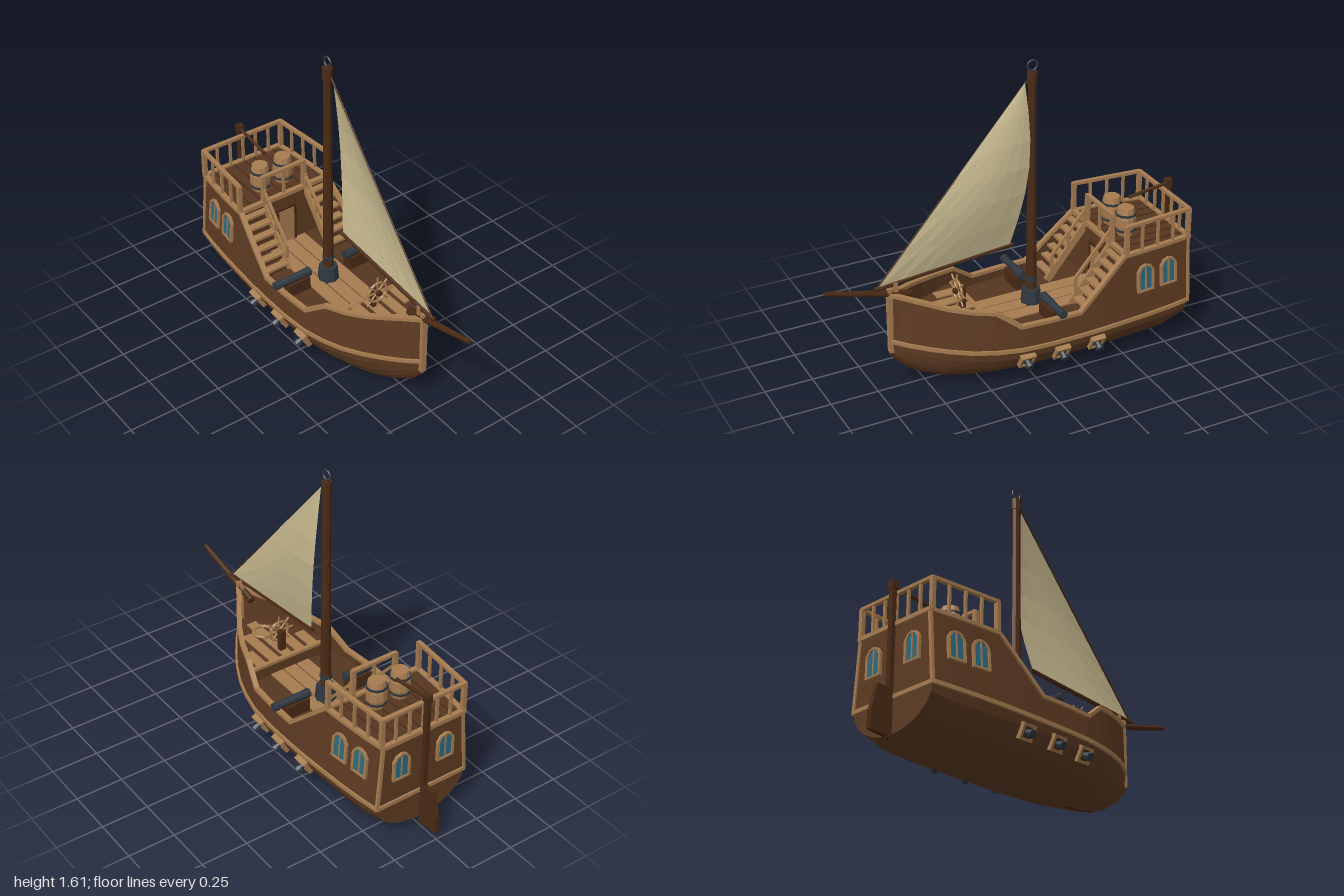
import * as THREE from 'three';

const mat = (name, color, side = THREE.FrontSide) => {
  const m = new THREE.MeshStandardMaterial({ color, flatShading: true, side });
  m.name = name;
  return m;
};

// Hull stations: z, half width, keel y, rubbing rail y, gunwale y
const STATIONS = [
  [-0.87, 0.262, 0.05, 0.225, 0.58], [-0.76, 0.277, 0.005, 0.222, 0.58], [-0.62, 0.29, 0, 0.22, 0.58],
  [-0.48, 0.298, 0, 0.218, 0.58], [-0.35, 0.303, 0, 0.215, 0.46], [-0.22, 0.305, 0, 0.213, 0.34],
  [-0.05, 0.303, 0, 0.212, 0.34], [0.1, 0.292, 0, 0.213, 0.34], [0.22, 0.265, 0, 0.217, 0.43],
  [0.33, 0.228, 0.006, 0.224, 0.445], [0.43, 0.18, 0.02, 0.235, 0.465], [0.52, 0.125, 0.055, 0.246, 0.49],
  [0.6, 0.07, 0.11, 0.258, 0.51], [0.67, 0.012, 0.19, 0.27, 0.53],
];

function stationAt(z) {
  let i = 0;
  while (i < STATIONS.length - 2 && STATIONS[i + 1][0] < z) i++;
  const a = STATIONS[i], b = STATIONS[i + 1], t = (z - a[0]) / (b[0] - a[0]);
  return a.map((v, k) => v + (b[k] - v) * t);
}
// Half width of the topsides at a height above the rail
const widthAt = (z, y) => { const s = stationAt(z); return Math.max(0.008, s[1] - 0.08 * (y - s[3])); };

export function createModel() {
  const root = new THREE.Group();
  root.name = 'sailingShip';
  const hullM = mat('hullBrown', 0x5e3b22, THREE.DoubleSide);
  const deckM = mat('deckBrown', 0x553620);
  const trim = mat('lightWood', 0xa67c50);
  const dark = mat('darkWood', 0x4a2a15);
  const sailM = mat('canvas', 0xc6b88e, THREE.DoubleSide);
  const iron = mat('iron', 0x2f3740);
  const glass = mat('glass', 0x2a6a80);

  const V = (x, y, z) => new THREE.Vector3(x, y, z);
  const add = (name, geo, m, pos, parent = root) => {
    const o = new THREE.Mesh(geo, m);
    o.name = name;
    if (pos) o.position.copy(pos);
    parent.add(o);
    return o;
  };
  const box = (name, m, w, h, d, x, y, z, parent) => add(name, new THREE.BoxGeometry(w, h, d), m, V(x, y, z), parent);
  const beam = (name, m, a, b, w, h = w) => {
    const o = add(name, new THREE.BoxGeometry(w, h, a.distanceTo(b) + w * 0.3), m, a.clone().lerp(b, 0.5));
    o.lookAt(b);
    return o;
  };
  const rod = (name, m, a, b, r1, r2 = r1, parent = root) => {
    const o = add(name, new THREE.CylinderGeometry(r2, r1, a.distanceTo(b), 8), m, a.clone().lerp(b, 0.5), parent);
    o.quaternion.setFromUnitVectors(V(0, 1, 0), b.clone().sub(a).normalize());
    return o;
  };

  // Hull skin: port gunwale, round the keel, to starboard gunwale
  const N = 6;
  const section = ([z, w, keel, rail, top]) => {
    const half = [];
    for (let i = 0; i <= N; i++) {
      const a = (i / N) * Math.PI / 2;
      half.push([w * Math.sin(a), keel + (rail - keel) * (1 - Math.cos(a)), z]);
    }
    half.push([widthAt(z, top), top, z]);
    return [...half.slice(1).reverse().map(([x, y, q]) => [-x, y, q]), ...half];
  };
  const rows = STATIONS.map(section), C = rows[0].length;
  const pos = rows.flat(2), idx = [];
  for (let r = 0; r < rows.length - 1; r++) for (let c = 0; c < C - 1; c++) {
    const a = r * C + c, b = a + C;
    idx.push(a, a + 1, b, a + 1, b + 1, b);
  }
  for (let c = 1; c < C - 1; c++) idx.push(0, c + 1, c); // transom
  const hullG = new THREE.BufferGeometry();
  hullG.setAttribute('position', new THREE.Float32BufferAttribute(pos, 3));
  hullG.setIndex(idx);
  hullG.computeVertexNormals();
  add('hull', hullG, hullM);

  // Gunwale and rubbing rail follow the stations
  for (const s of [-1, 1]) for (let i = 0; i < STATIONS.length - 1; i++) {
    const [p, q] = [STATIONS[i], STATIONS[i + 1]];
    beam('gunwale', trim, V(s * widthAt(p[0], p[4]), p[4], p[0]), V(s * widthAt(q[0], q[4]), q[4], q[0]), 0.026, 0.018);
    beam('rubbingRail', trim, V(s * p[1], p[3], p[0]), V(s * q[1], q[3], q[0]), 0.02);
  }
  box('transomRail', trim, 0.53, 0.02, 0.02, 0, 0.225, -0.87);
  box('transomSill', trim, 0.49, 0.022, 0.025, 0, 0.58, -0.87);
  for (const s of [-1, 1]) beam('transomCorner', trim, V(s * 0.261, 0.22, -0.87), V(s * 0.234, 0.58, -0.87), 0.016);
  box('stem', trim, 0.03, 0.36, 0.025, 0, 0.385, 0.672);
  const keel = STATIONS.slice(8);
  keel.slice(1).forEach((q, i) => beam('keel', dark, V(0, keel[i][2] + 0.006, keel[i][0]), V(0, q[2] + 0.006, q[0]), 0.02));

  // Decks cut to the hull outline
  const deck = (name, y, z0, z1) => {
    const zs = [z0, ...STATIONS.map((s) => s[0]).filter((z) => z > z0 && z < z1), z1];
    const right = zs.map((z) => new THREE.Vector2(widthAt(z, y) - 0.004, z));
    const left = right.map((p) => new THREE.Vector2(-p.x, p.y)).reverse();
    const g = new THREE.ExtrudeGeometry(new THREE.Shape([...right, ...left]), { depth: 0.02, bevelEnabled: false });
    add(name, g.rotateX(Math.PI / 2), deckM, V(0, y, 0));
  };
  deck('mainDeck', 0.28, -0.48, 0.22);
  deck('foreDeck', 0.35, 0.22, 0.64);
  deck('quarterDeck', 0.58, -0.868, -0.48);
  for (const x of [-0.08, 0, 0.08]) box('mainDeckPlank', trim, 0.072, 0.01, 0.69, x, 0.282, -0.13);
  for (const [x, end] of [[-0.16, 0.36], [-0.08, 0.49], [0, 0.57], [0.08, 0.49], [0.16, 0.36]])
    box('foreDeckPlank', trim, 0.055, 0.01, end - 0.23, x, 0.352, (end + 0.23) / 2);
  for (let i = -3; i <= 3; i++) box('quarterDeckSeam', dark, 0.008, 0.006, 0.37, i * 0.062, 0.58, -0.675);
  box('foreDeckStep', hullM, 0.5, 0.08, 0.012, 0, 0.31, 0.222);
  box('foreDeckBeam', trim, 0.5, 0.016, 0.022, 0, 0.352, 0.222);

  // Cabin front with door
  box('cabinFront', hullM, 0.55, 0.3, 0.015, 0, 0.43, -0.487);
  box('cabinBeam', trim, 0.55, 0.022, 0.026, 0, 0.582, -0.487);
  box('door', trim, 0.1, 0.21, 0.012, 0, 0.385, -0.476);
  for (const s of [-1, 1]) box('doorFrame', dark, 0.012, 0.23, 0.02, s * 0.055, 0.395, -0.474);
  box('doorLintel', dark, 0.122, 0.014, 0.02, 0, 0.505, -0.474);

  // Stairs on both sides
  for (const s of [-1, 1]) {
    for (let i = 0; i < 6; i++) {
      const y = 0.325 + i * 0.045, z = -0.285 - i * 0.036;
      box('stairTread', trim, 0.14, 0.014, 0.04, s * 0.2, y, z);
      box('stairRiser', deckM, 0.13, 0.04, 0.008, s * 0.2, y - 0.022, z - 0.004);
    }
    beam('stairStringer', trim, V(s * 0.127, 0.3, -0.26), V(s * 0.127, 0.57, -0.48), 0.014, 0.04);
    beam('stairHandrail', trim, V(s * 0.127, 0.43, -0.28), V(s * 0.127, 0.66, -0.48), 0.014);
    for (const t of [0, 0.5, 1]) box('stairPost', trim, 0.014, 0.13, 0.014, s * 0.127, 0.37 + t * 0.23, -0.285 - t * 0.19);
  }

  // Quarterdeck railing
  const railing = (a, b, n) => {
    for (let i = 0; i <= n; i++) {
      const p = a.clone().lerp(b, i / n), w = i % n ? 0.013 : 0.022;
      box('railPost', trim, w, 0.165, w, p.x, 0.66, p.z);
    }
    beam('railTop', trim, a.clone().setY(0.738), b.clone().setY(0.738), 0.022, 0.016);
  };
  for (const s of [-1, 1]) railing(V(s * 0.27, 0, -0.49), V(s * 0.24, 0, -0.865), 4);
  railing(V(-0.24, 0, -0.865), V(0.24, 0, -0.865), 6);
  railing(V(-0.125, 0, -0.49), V(0.125, 0, -0.49), 2);

  // Barrels
  const profile = [[0, 0], [0.042, 0], [0.054, 0.05], [0.054, 0.095], [0.042, 0.15], [0, 0.15]].map((p) => new THREE.Vector2(...p));
  for (const s of [-1, 1]) {
    add('barrel', new THREE.LatheGeometry(profile, 10), trim, V(s * 0.07, 0.583, -0.6));
    for (const y of [0.03, 0.115]) add('barrelHoop', new THREE.CylinderGeometry(0.053, 0.053, 0.012, 10), iron, V(s * 0.07, 0.583 + y, -0.6));
  }

  // Mast, collar and top ring
  rod('mast', dark, V(0, 0.27, -0.1), V(0, 1.5, -0.1), 0.028, 0.021);
  add('mastCap', new THREE.CylinderGeometry(0.027, 0.027, 0.06, 8), dark, V(0, 1.51, -0.1));
  add('mastCollar', new THREE.CylinderGeometry(0.048, 0.056, 0.085, 8), iron, V(0, 0.322, -0.1));
  add('mastBand', new THREE.CylinderGeometry(0.031, 0.031, 0.02, 8), iron, V(0, 0.42, -0.1));
  add('mastRing', new THREE.TorusGeometry(0.026, 0.005, 6, 16), iron, V(0, 1.57, -0.1)).rotation.y = Math.PI / 2;

  // Sail with a belly to the left, boom, stay and bowsprit
  const tack = V(0, 0.575, 0.735), head = V(0, 1.49, -0.06), clew = V(0, 0.645, 0.02);
  const sailG = new THREE.PlaneGeometry(1, 1, 6, 6), sp = sailG.attributes.position;
  for (let i = 0; i < sp.count; i++) {
    const v = sp.getX(i) + 0.5, t = sp.getY(i) + 0.5, bulge = Math.sin(Math.PI * t);
    const p = tack.clone().lerp(head, t).lerp(clew.clone().lerp(head, t).add(V(0, 0, -0.042 * bulge)), v);
    sp.setXYZ(i, 0.003 + 0.05 * bulge * Math.sin(Math.PI * 0.65 * v), p.y, p.z);
  }
  sailG.computeVertexNormals();
  add('sail', sailG, sailM);
  rod('boom', dark, V(0, 0.573, 0.745), V(0, 0.638, 0.005), 0.012, 0.01);
  rod('stay', dark, tack, V(0, 1.495, -0.07), 0.004);
  rod('bowsprit', dark, V(0, 0.505, 0.56), V(0, 0.617, 0.997), 0.02, 0.012);
  box('bowspritPost', trim, 0.026, 0.1, 0.022, 0, 0.54, 0.64);

  // Rudder and tiller
  const blade = [[0.885, 0.03], [1, 0.04], [1, 0.13], [0.965, 0.265], [0.885, 0.26]].map((p) => new THREE.Vector2(...p));
  const bladeG = new THREE.ExtrudeGeometry(new THREE.Shape(blade), { depth: 0.026, bevelEnabled: false });
  add('rudderBlade', bladeG.rotateY(Math.PI / 2), dark, V(-0.013, 0, 0));
  box('rudderPost', dark, 0.026, 0.75, 0.024, 0, 0.4, -0.89);
  box('rudderHead', dark, 0.034, 0.04, 0.032, 0, 0.775, -0.89);
  rod('tiller', dark, V(0, 0.773, -0.89), V(0, 0.742, -0.66), 0.009);

  // Steering wheel and rope coil on the foredeck
  add('wheelRim', new THREE.TorusGeometry(0.055, 0.007, 6, 16), trim, V(0, 0.455, 0.31));
  for (let i = 0; i < 4; i++) {
    const d = V(Math.cos(i * Math.PI / 4), Math.sin(i * Math.PI / 4), 0).multiplyScalar(0.087), c = V(0, 0.455, 0.31);
    rod('wheelSpoke', trim, c.clone().sub(d), c.clone().add(d), 0.005);
  }
  rod('wheelHub', dark, V(0, 0.455, 0.285), V(0, 0.455, 0.33), 0.015);
  box('wheelStand', dark, 0.035, 0.12, 0.025, 0, 0.41, 0.285);
  add('ropeCoil', new THREE.TorusGeometry(0.05, 0.009, 6, 16), trim, V(0, 0.365, 0.46)).rotation.x = Math.PI / 2;

  // Deck cannons and hull gun ports
  for (const s of [-1, 1]) {
    rod('deckCannon', iron, V(s * 0.11, 0.37, -0.11), V(s * 0.315, 0.37, -0.11), 0.024, 0.017);
    rod('cannonMuzzle', iron, V(s * 0.295, 0.37, -0.11), V(s * 0.325, 0.37, -0.11), 0.022);
    box('cannonCarriage', dark, 0.13, 0.07, 0.06, s * 0.19, 0.32, -0.11);
    for (const z of [0.07, -0.12, -0.32]) {
      const port = new THREE.Group();
      port.name = 'gunPort';
      port.position.set(s * (stationAt(z)[1] * 0.945), 0.14, z);
      port.rotation.z = s > 0 ? -0.5 : Math.PI + 0.5;
      root.add(port);
      for (const k of [-1, 1]) {
        box('portFrameSide', trim, 0.03, 0.08, 0.014, 0.002, 0, k * 0.033, port);
        box('portFrameEnd', trim, 0.03, 0.014, 0.08, 0.002, k * 0.033, 0, port);
      }
      box('portHatch', dark, 0.01, 0.06, 0.06, 0.004, 0, 0, port);
      rod('portCannon', iron, V(-0.02, 0, 0), V(0.045, 0, 0), 0.017, 0.015, port);
      rod('portMuzzle', iron, V(0.03, 0, 0), V(0.05, 0, 0), 0.022, 0.022, port);
    }
  }

  // Arched windows
  const arch = (k) => [[-0.05, -0.075], [0.05, -0.075], [0.05, 0.035], [0.03, 0.065], [0, 0.075], [-0.03, 0.065], [-0.05, 0.035]]
    .map(([x, y]) => new THREE.Vector2(x * k, y * (k + 1) / 2));
  const frame = new THREE.Shape(arch(1));
  frame.holes.push(new THREE.Path(arch(0.74)));
  const frameG = new THREE.ExtrudeGeometry(frame, { depth: 0.018, bevelEnabled: false });
  const glassG = new THREE.ExtrudeGeometry(new THREE.Shape(arch(0.8)), { depth: 0.008, bevelEnabled: false });
  const windowAt = (x, z, turn, tilt) => {
    const g = new THREE.Group();
    g.name = 'window';
    g.position.set(x, 0.432, z);
    g.rotation.set(tilt, turn, 0, 'YXZ');
    root.add(g);
    add('windowFrame', frameG, trim, V(0, 0, -0.004), g);
    add('windowGlass', glassG, glass, V(0, 0, -0.001), g);
    box('windowMullion', trim, 0.008, 0.135, 0.012, 0, 0, 0.005, g);
  };
  for (const s of [-1, 1]) {
    for (const z of [-0.6, -0.74]) windowAt(s * widthAt(z, 0.432), z, s * (Math.PI / 2 + 0.1), -0.08);
    windowAt(s * 0.13, -0.871, Math.PI, 0);
  }
  return root;
}
